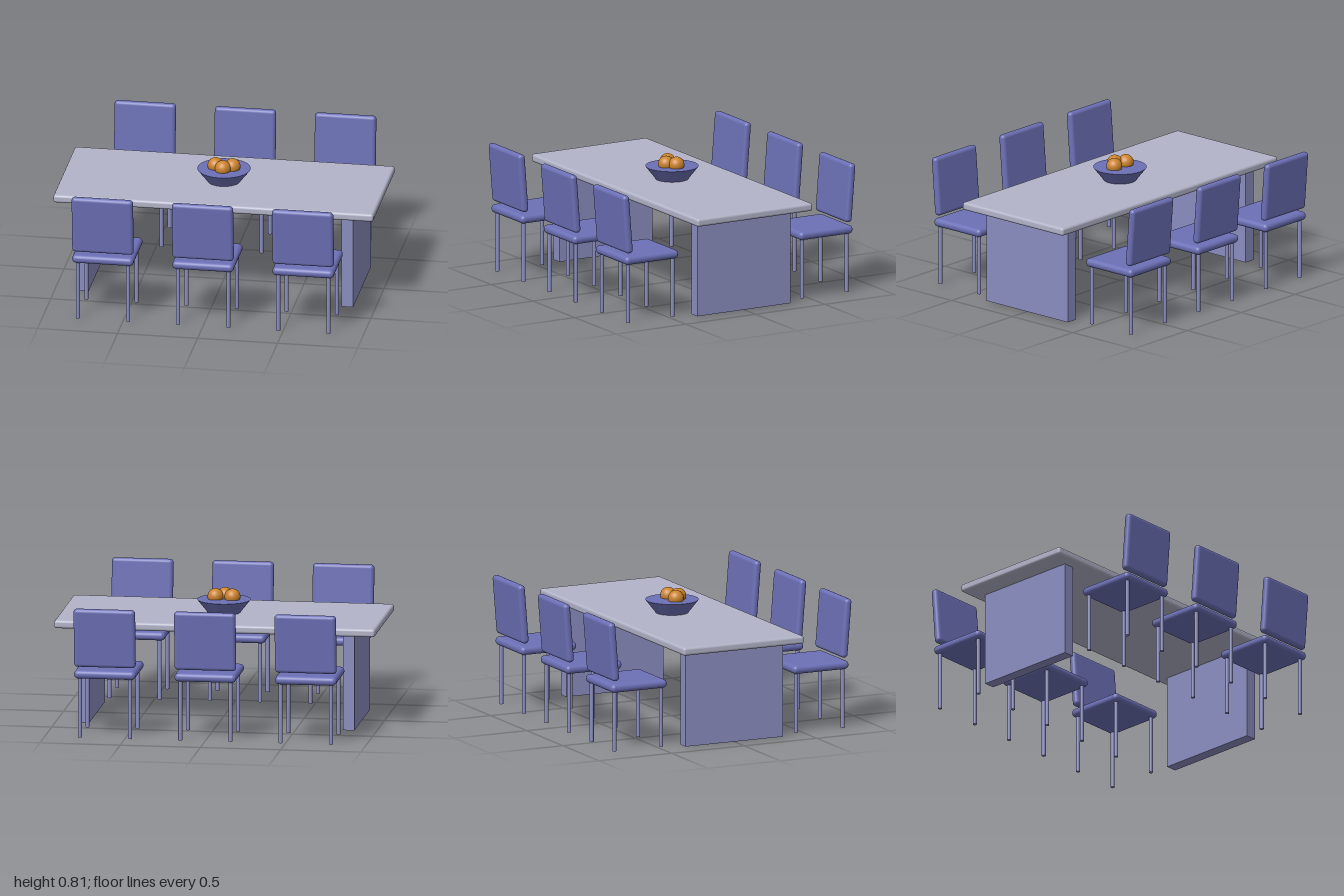
import * as THREE from 'three';
import { RoundedBoxGeometry } from 'three/addons/geometries/RoundedBoxGeometry.js';

const material = (name, color) => {
  const m = new THREE.MeshStandardMaterial({ color });
  m.name = name;
  return m;
};

export function createModel() {
  const model = new THREE.Group();
  model.name = 'diningSet';

  const stone = material('pale grey tabletop', 0xb2b4c8);
  const lilac = material('lilac supports', 0x8a8dbf);
  const indigo = material('indigo upholstery', 0x6c70b6);
  const orange = material('orange fruit', 0xcc842c);

  const add = (parent, name, geometry, mat, x, y, z) => {
    const mesh = new THREE.Mesh(geometry, mat);
    mesh.name = name;
    mesh.position.set(x, y, z);
    parent.add(mesh);
    return mesh;
  };

  // Table: rounded slab on two upright panels
  const table = new THREE.Group();
  table.name = 'table';
  model.add(table);
  add(table, 'tabletop', new RoundedBoxGeometry(2, 0.05, 0.83, 4, 0.016), stone, 0, 0.628, 0);
  const panel = new THREE.BoxGeometry(0.072, 0.605, 0.67);
  for (const side of [-1, 1]) add(table, 'tablePanel', panel, lilac, side * 0.826, 0.3025, 0);

  // Chairs: shared parts, facing -z toward the table
  const seat = new RoundedBoxGeometry(0.383, 0.053, 0.383, 5, 0.025);
  const back = new RoundedBoxGeometry(0.383, 0.37, 0.047, 5, 0.022);
  const leg = new THREE.CylinderGeometry(0.0125, 0.0125, 0.385, 20);
  const makeChair = () => {
    const chair = new THREE.Group();
    chair.name = 'chair';
    add(chair, 'seat', seat, indigo, 0, 0.397, 0);
    add(chair, 'backrest', back, indigo, 0, 0.628, 0.174).rotation.x = 0.08;
    for (const x of [-0.157, 0.157])
      for (const z of [-0.16, 0.16]) add(chair, 'leg', leg, lilac, x, 0.1925, z);
    return chair;
  };
  for (const side of [1, -1]) {
    for (const x of [-0.626, 0, 0.626]) {
      const chair = makeChair();
      chair.position.set(x, 0, side * 0.626);
      if (side < 0) chair.rotation.y = Math.PI;
      model.add(chair);
    }
  }

  // Filled bowl with three fruits
  const centrepiece = new THREE.Group();
  centrepiece.name = 'fruitBowl';
  model.add(centrepiece);
  add(centrepiece, 'bowl', new THREE.CylinderGeometry(0.165, 0.1, 0.083, 48), indigo, 0, 0.6935, 0);
  const fruit = new THREE.SphereGeometry(0.049, 32, 20);
  for (const [x, z] of [[-0.053, 0], [0.053, 0], [0, 0.043]])
    add(centrepiece, 'fruit', fruit, orange, x, 0.752, z);

  return model;
}
